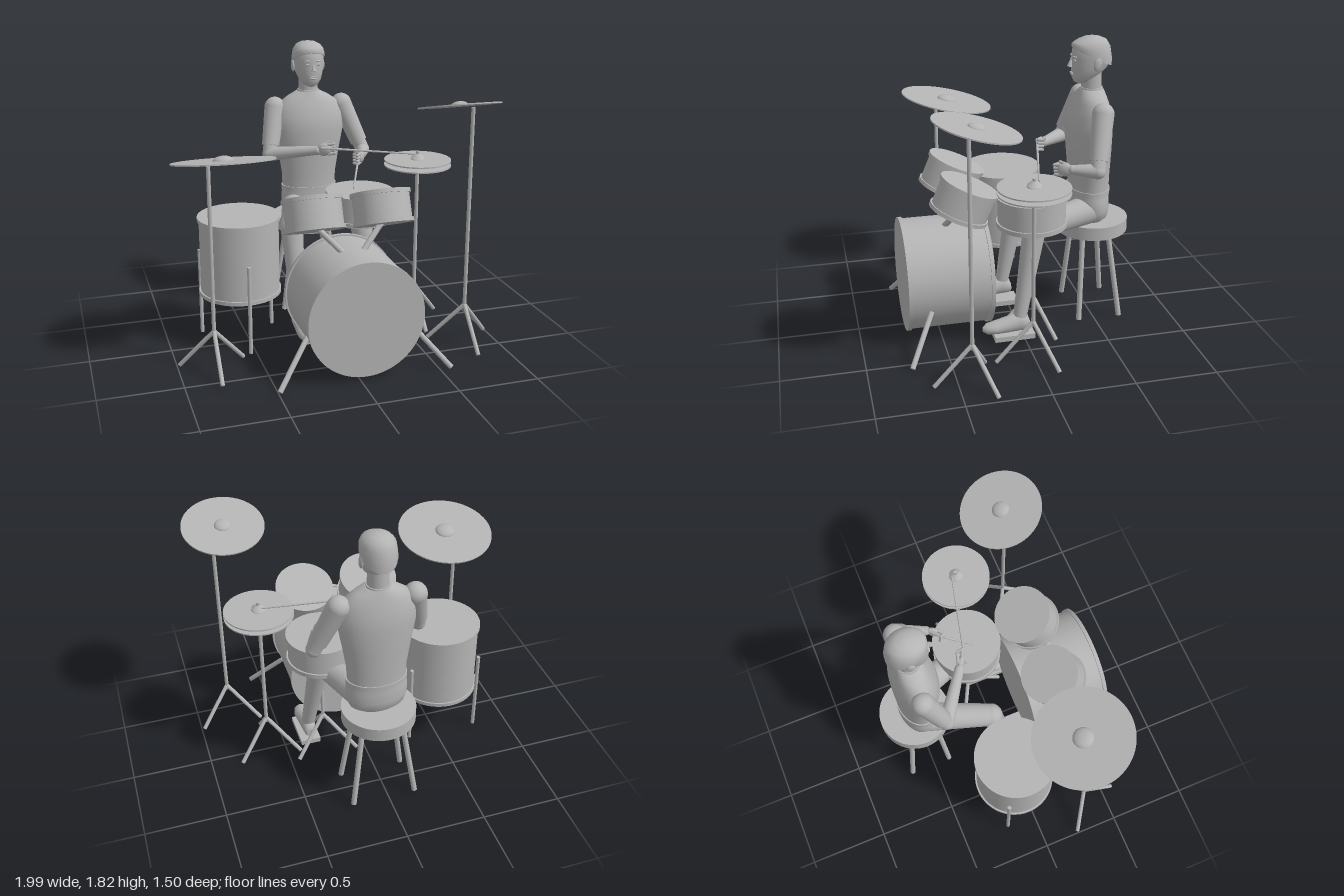
import * as THREE from 'three';

const grey = new THREE.MeshStandardMaterial({ color: 0xb4b4b4 });
grey.name = 'plain grey';
const V = (x, y, z) => new THREE.Vector3(x, y, z);
const UP = V(0, 1, 0);
const CX = 0.035; // centre line of the drummer

function add(parent, name, geometry, x = 0, y = 0, z = 0) {
  const mesh = new THREE.Mesh(geometry, grey);
  mesh.name = name;
  mesh.position.set(x, y, z);
  parent.add(mesh);
  return mesh;
}

function group(parent, name, x = 0, y = 0, z = 0) {
  const g = new THREE.Group();
  g.name = name;
  g.position.set(x, y, z);
  parent.add(g);
  return g;
}

// Round bar from a to b
function rod(parent, name, a, b, ra, rb = ra, sides = 20) {
  const d = b.clone().sub(a);
  const m = add(parent, name, new THREE.CylinderGeometry(rb, ra, d.length(), sides));
  m.position.copy(a).add(b).multiplyScalar(0.5);
  m.quaternion.setFromUnitVectors(UP, d.normalize());
  return m;
}

function ball(parent, name, p, rx, ry = rx, rz = rx) {
  const m = add(parent, name, new THREE.SphereGeometry(1, 28, 18), p.x, p.y, p.z);
  m.scale.set(rx, ry, rz);
  return m;
}

// Smooth body from elliptical sections [y, zCentre, rx, rz, slope]
function loft(sections, n = 40) {
  const first = sections[0], last = sections[sections.length - 1];
  const shut = s => [s[0], s[1], 0, 0, 0];
  const rings = [shut(first), first, ...sections, last, shut(last)];
  const pos = [], index = [];
  rings.forEach(([y, zc, rx, rz, slope = 0], i) => {
    for (let j = 0; j < n; j++) {
      const a = j / n * Math.PI * 2, z = rz * Math.cos(a);
      pos.push(rx * Math.sin(a), y + slope * z, zc + z);
      if (i < rings.length - 1) {
        const k = (j + 1) % n, p = i * n, q = p + n;
        index.push(p + j, p + k, q + k, p + j, q + k, q + j);
      }
    }
  });
  const g = new THREE.BufferGeometry();
  g.setAttribute('position', new THREE.Float32BufferAttribute(pos, 3));
  g.setIndex(index);
  g.computeVertexNormals();
  return g;
}

// Shell with a hoop at each end, axis along y
function drum(parent, name, r, h, hoop, x, y, z, tilt = 0) {
  const g = group(parent, name, x, y, z);
  g.rotation.x = tilt;
  add(g, 'shell', new THREE.CylinderGeometry(r - 0.01, r - 0.01, h - 0.01, 64));
  for (const s of [-1, 1]) {
    add(g, 'hoop', new THREE.CylinderGeometry(r, r, hoop, 64), 0, s * (h - hoop) / 2, 0);
  }
  return g;
}

// Upright post on a tripod
function stand(parent, name, x, z, top) {
  const g = group(parent, name, x, 0, z);
  rod(g, 'post', V(0, 0.23, 0), V(0, top, 0), 0.012);
  for (let i = 0; i < 3; i++) {
    const a = i * Math.PI * 2 / 3;
    rod(g, 'leg', V(0, 0.26, 0), V(0.225 * Math.sin(a), 0.015, 0.225 * Math.cos(a)), 0.013);
  }
}

function cymbal(parent, name, r, x, y, z, tilt = 0) {
  const g = group(parent, name, x, y, z);
  g.rotation.x = tilt;
  add(g, 'plate', new THREE.CylinderGeometry(r, r, 0.008, 64));
  add(g, 'bell', new THREE.SphereGeometry(r * 0.21, 28, 10, 0, Math.PI * 2, 0, Math.PI / 2)).scale.y = 0.5;
}

function buildKit(kit) {
  const bass = drum(kit, 'bassDrum', 0.356, 0.527, 0.024, 0.037, 0.377, 0.453, Math.PI / 2);
  bass.name = 'bassDrum';
  for (const s of [-1, 1]) {
    rod(kit, 'bassSpur', V(0.037 + s * 0.32, 0.26, 0.58), V(0.037 + s * 0.53, 0.012, 0.735), 0.016);
    drum(kit, 'rackTom', 0.184, 0.198, 0.024, 0.035 + s * 0.214, 0.927, 0.35, -0.4);
    rod(kit, 'tomMount', V(0.037 + s * 0.2, 0.85, 0.385), V(0.037 + s * 0.05, 0.69, 0.455), 0.018);
  }
  drum(kit, 'floorTom', 0.257, 0.5, 0.024, -0.54, 0.578, -0.06);
  for (let i = 0; i < 3; i++) {
    const a = i * Math.PI * 2 / 3, x = -0.54 + 0.266 * Math.sin(a), z = -0.06 + 0.266 * Math.cos(a);
    rod(kit, 'floorTomLeg', V(x, 0.015, z), V(x, 0.58, z), 0.012);
  }
  drum(kit, 'snare', 0.217, 0.19, 0.028, 0.252, 0.825, -0.065);
  stand(kit, 'snareStand', 0.252, -0.065, 0.74);

  cymbal(kit, 'rightCrash', 0.302, -0.69, 1.273, 0.285, -0.2);
  stand(kit, 'rightCrashStand', -0.79, 0.345, 1.265);
  cymbal(kit, 'leftCrash', 0.25, 0.725, 1.523, 0.362, -0.245);
  stand(kit, 'leftCrashStand', 0.789, 0.418, 1.52);
  for (const y of [1.08, 1.112]) cymbal(kit, 'hiHatCymbal', 0.212, 0.612, y, 0.015);
  add(kit, 'hiHatClutch', new THREE.CylinderGeometry(0.015, 0.042, 0.022, 24), 0.612, 1.141, 0.015);
  stand(kit, 'hiHatStand', 0.612, 0.015, 1.168);
  for (const x of [-0.12, 0.335]) add(kit, 'pedal', new THREE.BoxGeometry(0.13, 0.033, 0.255), x, 0.034, 0.07);

  // Stool
  add(kit, 'stoolSeat', new THREE.CylinderGeometry(0.226, 0.226, 0.085, 64), 0.03, 0.612, -0.522);
  for (const sx of [-1, 1]) for (const sz of [-1, 1]) {
    rod(kit, 'stoolLeg', V(0.03 + sx * 0.12, 0.58, -0.51 + sz * 0.083), V(0.03 + sx * 0.2, 0.015, -0.525 + sz * 0.135), 0.017);
  }
}

function buildHead(d) {
  const head = group(d, 'head', CX, 0, 0);
  add(head, 'neck', new THREE.CylinderGeometry(0.06, 0.064, 0.16, 32), 0, 1.54, -0.492);
  add(head, 'collar', new THREE.CylinderGeometry(0.069, 0.075, 0.03, 32), 0, 1.495, -0.492);
  add(head, 'skull', loft([
    [1.537, -0.425, 0.022, 0.025], [1.55, -0.428, 0.046, 0.05], [1.585, -0.447, 0.072, 0.083],
    [1.635, -0.474, 0.09, 0.112], [1.7, -0.482, 0.098, 0.12], [1.755, -0.485, 0.097, 0.115],
    [1.795, -0.485, 0.075, 0.09], [1.815, -0.485, 0.03, 0.04]]));
  add(head, 'hair', loft([
    [1.7, -0.488, 0.104, 0.124, 0.48], [1.735, -0.488, 0.105, 0.124, 0.35], [1.775, -0.488, 0.097, 0.112, 0.12],
    [1.802, -0.488, 0.077, 0.088], [1.818, -0.488, 0.046, 0.05], [1.823, -0.488, 0.012, 0.012]]));
  const nose = add(head, 'nose', new THREE.ConeGeometry(0.017, 0.06, 12), 0, 1.672, -0.356);
  nose.rotation.x = -0.2;
  ball(head, 'upperLip', V(0, 1.605, -0.364), 0.026, 0.006, 0.01);
  ball(head, 'lowerLip', V(0, 1.595, -0.366), 0.022, 0.007, 0.01);
  for (const s of [-1, 1]) {
    ball(head, 'eye', V(s * 0.034, 1.684, -0.372), 0.015, 0.008, 0.008);
    ball(head, 'brow', V(s * 0.035, 1.707, -0.371), 0.022, 0.005, 0.008).rotation.y = s * 0.3;
    ball(head, 'ear', V(s * 0.1, 1.668, -0.495), 0.012, 0.042, 0.024).rotation.x = -0.15;
  }
}

// Fist with curled fingers, pointing along local +z
function buildHand(d, wrist, tip, side) {
  const hand = group(d, 'hand', wrist.x, wrist.y, wrist.z);
  hand.lookAt(tip);
  ball(hand, 'palm', V(0, 0, 0.045), 0.022, 0.04, 0.05);
  for (let i = 0; i < 4; i++) {
    const y = 0.03 - i * 0.02;
    rod(hand, 'finger', V(0, y, 0.07), V(side * 0.012, y, 0.112), 0.011, 0.01, 10);
    ball(hand, 'knuckle', V(side * 0.012, y, 0.112), 0.0105);
    rod(hand, 'fingertip', V(side * 0.012, y, 0.112), V(side * 0.042, y, 0.092), 0.01, 0.008, 10);
  }
  rod(hand, 'thumb', V(side * 0.01, 0.025, 0.025), V(side * 0.035, 0.043, 0.085), 0.012, 0.009, 10);
}

function buildDrummer(d) {
  buildHead(d);
  add(d, 'torso', loft([
    [0.84, -0.488, 0.178, 0.124], [0.95, -0.488, 0.182, 0.125], [1.1, -0.484, 0.205, 0.134],
    [1.25, -0.479, 0.232, 0.14], [1.35, -0.483, 0.228, 0.128], [1.43, -0.488, 0.195, 0.1],
    [1.47, -0.491, 0.135, 0.085], [1.5, -0.492, 0.075, 0.073]]), CX);
  add(d, 'belt', loft([[0.838, -0.488, 0.187, 0.13], [0.872, -0.488, 0.187, 0.13]]), CX);
  add(d, 'pelvis', loft([
    [0.655, -0.5, 0.13, 0.08], [0.685, -0.498, 0.17, 0.11], [0.74, -0.492, 0.188, 0.125],
    [0.8, -0.488, 0.188, 0.126], [0.845, -0.488, 0.18, 0.124]]), CX);

  // Legs and shoes
  for (const [hip, knee, ankle] of [
    [V(-0.06, 0.74, -0.47), V(-0.195, 0.705, -0.08), V(-0.18, 0.15, 0.025)],
    [V(0.13, 0.74, -0.47), V(0.265, 0.705, -0.08), V(0.33, 0.15, 0.025)]]) {
    ball(d, 'hip', hip, 0.092);
    rod(d, 'thigh', hip, knee, 0.092, 0.072, 32);
    ball(d, 'knee', knee, 0.073);
    rod(d, 'shin', knee, ankle, 0.072, 0.042, 32);
    const shoe = add(d, 'shoe', loft([
      [-0.035, -0.09, 0.025, 0.028], [-0.02, -0.105, 0.04, 0.052], [0.03, -0.113, 0.046, 0.063],
      [0.1, -0.1, 0.05, 0.052], [0.18, -0.088, 0.054, 0.04], [0.235, -0.083, 0.042, 0.033],
      [0.262, -0.08, 0.015, 0.015]]), ankle.x);
    shoe.rotation.x = Math.PI / 2;
  }

  // Arms: short sleeve over the upper arm, then forearm and hand
  for (const [side, shoulder, elbow, wrist, tip] of [
    [1, V(-0.19, 1.4, -0.495), V(-0.255, 1.115, -0.39), V(0.01, 1.165, -0.2), V(0.1, 1.185, -0.13)],
    [-1, V(0.265, 1.4, -0.495), V(0.395, 1.09, -0.43), V(0.345, 1.095, -0.29), V(0.29, 1.08, -0.19)]]) {
    const cuff = shoulder.clone().lerp(elbow, 0.82);
    ball(d, 'shoulder', shoulder, 0.067);
    rod(d, 'sleeve', shoulder, cuff, 0.067, 0.056, 32);
    rod(d, 'upperArm', shoulder, elbow, 0.05, 0.046, 28);
    ball(d, 'elbow', elbow, 0.047);
    rod(d, 'forearm', elbow, wrist, 0.047, 0.028, 28);
    ball(d, 'wrist', wrist, 0.029);
    buildHand(d, wrist, tip, side);
  }
  rod(d, 'rightStick', V(0.02, 1.19, -0.155), V(0.6, 1.143, -0.015), 0.008, 0.005, 12);
  rod(d, 'leftStick', V(0.315, 1.09, -0.27), V(0.2, 0.945, -0.03), 0.008, 0.005, 12);
}

export function createModel() {
  const model = new THREE.Group();
  model.name = 'drummerAtKit';
  buildKit(group(model, 'drumKit'));
  buildDrummer(group(model, 'drummer'));
  return model;
}
